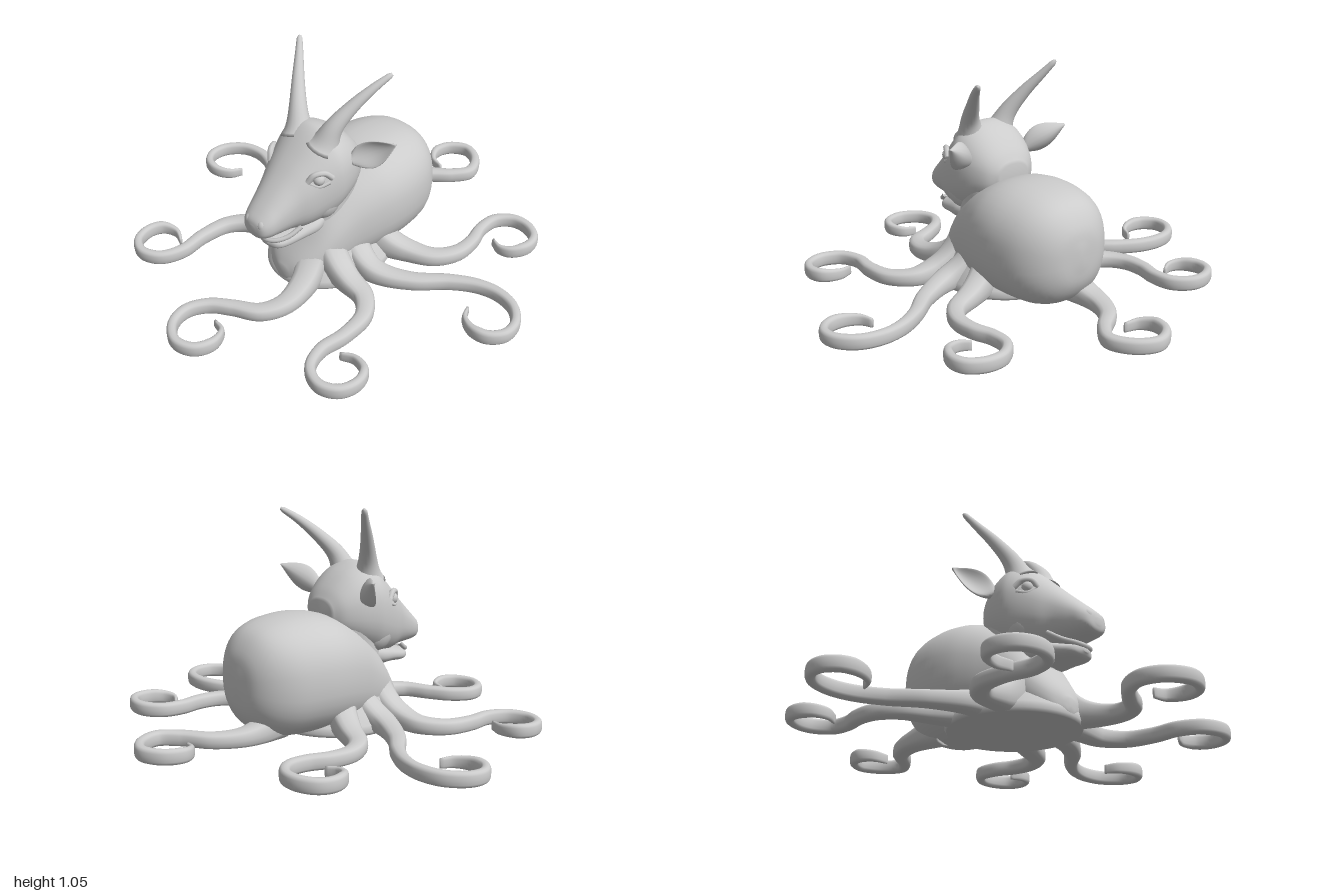
import * as THREE from 'three';

const V = (x, y, z) => new THREE.Vector3(x, y, z);
const mat = new THREE.MeshStandardMaterial({ color: 0xcccccc, roughness: 0.8 });
const ground = z => 0.04 - 0.04 * z;
const pow = (c, n) => Math.sign(c) * Math.abs(c) ** (2 / n);
const flip = (p, s) => V(p.x * s, p.y, p.z);

// Closed skin from f(t, angle), capped at both ends and wound outward
function loft(name, segs, sides, f) {
  const pos = [], idx = [];
  for (let i = 0; i <= segs; i++)
    for (let j = 0; j < sides; j++) pos.push(...f(i / segs, (j / sides) * Math.PI * 2).toArray());
  for (const i of [0, segs]) {
    const mid = V(0, 0, 0);
    for (let j = 0; j < sides; j++) mid.add(V().fromArray(pos, (i * sides + j) * 3));
    pos.push(...mid.divideScalar(sides).toArray());
  }
  const end = (segs + 1) * sides;
  for (let j = 0; j < sides; j++) {
    const k = (j + 1) % sides;
    for (let i = 0; i < segs; i++) {
      const a = i * sides + j, b = i * sides + k, c = a + sides, d = b + sides;
      idx.push(a, b, c, b, d, c);
    }
    idx.push(end, k, j, end + 1, segs * sides + j, segs * sides + k);
  }
  let vol = 0;
  for (let i = 0; i < idx.length; i += 3) {
    const [a, b, c] = [0, 1, 2].map(k => V().fromArray(pos, idx[i + k] * 3));
    vol += a.dot(b.cross(c));
  }
  if (vol < 0) idx.reverse();
  const g = new THREE.BufferGeometry();
  g.setAttribute('position', new THREE.Float32BufferAttribute(pos, 3));
  g.setIndex(idx);
  g.computeVertexNormals();
  return named(name, g);
}

function named(name, g) {
  const m = new THREE.Mesh(g, mat);
  m.name = name;
  return m;
}

// Form along z from keys [z, halfWidth, bottom, top]
function zForm(name, keys, n) {
  const a = new THREE.CatmullRomCurve3(keys.map(k => V(k[0], k[1], 0)), false, 'catmullrom');
  const b = new THREE.CatmullRomCurve3(keys.map(k => V(k[2], k[3], 0)), false, 'catmullrom');
  return loft(name, 48, 40, (t, q) => {
    const p = a.getPoint(t), y = b.getPoint(t);
    return V(p.y * pow(Math.cos(q), n), (y.x + y.y) / 2 + ((y.y - y.x) / 2) * pow(Math.sin(q), n), p.x);
  });
}

// Flat-bottomed arm following [x, z] points on the ground
function tentacle(name, pts, side, thick) {
  const curve = new THREE.CatmullRomCurve3(pts.map(p => V(p[0] * side, 0, p[1])));
  return loft(name, 90, 16, (t, q) => {
    const p = curve.getPointAt(t), d = curve.getTangentAt(t);
    const tip = Math.min(1, 0.35 + (1 - t) * 5);
    const w = (0.021 + thick * (1 - t) ** 3) * tip;
    const h = (0.067 + 0.2 * Math.exp(-14 * t)) * (0.5 + 0.5 * tip);
    const u = w * pow(Math.cos(q), 2.6);
    const y = ground(p.z) + (h / 2) * (1 + pow(Math.sin(q), 3));
    return V(p.x - d.z * u, y, p.z + d.x * u);
  });
}

// Tapering round horn
function horn(name, pts) {
  const curve = new THREE.CatmullRomCurve3(pts), N = 30, fr = curve.computeFrenetFrames(N);
  return loft(name, N, 18, (t, q) => {
    const i = Math.round(t * N);
    const r = (0.012 + 0.036 * (1 - t) + 0.035 * Math.exp(-9 * t)) * (t > 0.97 ? 0.6 : 1);
    return curve.getPointAt(t).addScaledVector(fr.normals[i], r * Math.cos(q))
      .addScaledVector(fr.binormals[i], r * Math.sin(q));
  });
}

// Cupped leaf-shaped ear
function ear(name, s) {
  const root = V(0.165, 0.635, 0.08), axis = V(0.16, 0.105, -0.1);
  const wide = V(-0.45, 0.8, 0.12).normalize(), nor = axis.clone().cross(wide).normalize();
  return loft(name, 24, 20, (t, q) => {
    const w = 0.02 * (1 - t) + 0.048 * Math.sin(Math.PI * t ** 0.85) + 0.003;
    const u = Math.cos(q), k = Math.sin(q);
    const bend = 0.035 * (u * u - 0.6) * Math.sin(Math.PI * t);
    const p = root.clone().addScaledVector(axis, t).addScaledVector(wide, w * u)
      .addScaledVector(nor, bend + k * (0.008 + 0.018 * (1 - t) ** 2));
    return flip(p, s);
  });
}

function ball(name, r, p, scale) {
  const m = named(name, new THREE.SphereGeometry(r, 20, 14));
  m.position.copy(p);
  if (scale) m.scale.set(...scale);
  return m;
}

function tube(name, pts, r) {
  return named(name, new THREE.TubeGeometry(new THREE.CatmullRomCurve3(pts), 24, r, 8));
}

export function createModel() {
  const g = new THREE.Group();
  g.name = 'goatOctopus';

  // Rounded abdomen and chest
  g.add(zForm('body', [
    [-0.512, 0.02, 0.28, 0.36], [-0.495, 0.12, 0.18, 0.45], [-0.44, 0.2, 0.1, 0.53],
    [-0.35, 0.255, 0.06, 0.57], [-0.22, 0.28, 0.05, 0.585], [-0.1, 0.275, 0.045, 0.575],
    [0, 0.25, 0.04, 0.54], [0.1, 0.215, 0.035, 0.48], [0.2, 0.185, 0.033, 0.38],
    [0.28, 0.15, 0.03, 0.26], [0.34, 0.1, 0.03, 0.17], [0.37, 0.03, 0.05, 0.11]], 2.35));

  // Flared web joining the arms, flat underneath
  const web = named('web', new THREE.LatheGeometry(
    [[0, 0], [0.31, 0], [0.32, 0.015], [0.315, 0.045], [0.27, 0.1], [0.22, 0.17], [0.18, 0.26], [0.15, 0.34], [0, 0.36]]
      .map(p => new THREE.Vector2(...p)), 48));
  web.position.set(0, ground(0.05), 0.05);
  web.rotation.x = 0.04;
  web.scale.x = 0.88;
  g.add(web);

  // Neck from keys [y, centre z, halfWidth, halfDepth]
  const neck = [[0.15, 0.12, 0.21, 0.21], [0.28, 0.1, 0.165, 0.17], [0.4, 0.1, 0.155, 0.16],
    [0.5, 0.09, 0.16, 0.15], [0.6, 0.08, 0.155, 0.115], [0.67, 0.09, 0.1, 0.06]];
  const nc = new THREE.CatmullRomCurve3(neck.map(k => V(k[0], k[1], 0)), false, 'catmullrom');
  const nr = new THREE.CatmullRomCurve3(neck.map(k => V(k[2], k[3], 0)), false, 'catmullrom');
  g.add(loft('neck', 24, 32, (t, q) => {
    const c = nc.getPoint(t), r = nr.getPoint(t);
    return V(r.x * Math.cos(q), c.x, c.y + r.y * Math.sin(q));
  }));

  // Skull with long muzzle, and lower jaw
  g.add(zForm('head', [
    [-0.05, 0.08, 0.5, 0.62], [-0.01, 0.135, 0.45, 0.68], [0.06, 0.175, 0.4, 0.745],
    [0.14, 0.195, 0.36, 0.782], [0.2, 0.19, 0.34, 0.765], [0.3, 0.155, 0.335, 0.672],
    [0.37, 0.122, 0.35, 0.603], [0.44, 0.098, 0.355, 0.537], [0.49, 0.082, 0.36, 0.49],
    [0.52, 0.058, 0.372, 0.458], [0.53, 0.015, 0.4, 0.43]], 2.3));
  g.add(zForm('lowerJaw', [
    [0.16, 0.1, 0.29, 0.4], [0.24, 0.125, 0.28, 0.39], [0.32, 0.11, 0.28, 0.365],
    [0.4, 0.085, 0.272, 0.338], [0.44, 0.06, 0.275, 0.328], [0.46, 0.015, 0.295, 0.315]], 2.3));
  g.add(tube('lowerLip', [V(-0.112, 0.385, 0.34), V(-0.085, 0.345, 0.4), V(-0.045, 0.327, 0.445),
    V(0, 0.322, 0.458), V(0.045, 0.327, 0.445), V(0.085, 0.345, 0.4), V(0.112, 0.385, 0.34)], 0.011));

  // Paired face details
  for (const s of [1, -1]) {
    const side = s > 0 ? 'left' : 'right';
    const P = (x, y, z) => V(x * s, y, z);
    g.add(ear(side + 'Ear', s));
    g.add(ball(side + 'Eye', 0.028, P(0.142, 0.612, 0.262)));
    g.add(tube(side + 'Brow', [P(0.118, 0.605, 0.305), P(0.138, 0.64, 0.284), P(0.162, 0.643, 0.245), P(0.178, 0.615, 0.215)], 0.014));
    g.add(tube(side + 'LowerLid', [P(0.125, 0.6, 0.3), P(0.152, 0.582, 0.27), P(0.175, 0.595, 0.225)], 0.009));
    g.add(ball(side + 'Nostril', 0.028, P(0.038, 0.435, 0.5), [0.9, 1.1, 0.9]));
    g.add(ball(side + 'Cheek', 0.085, P(0.105, 0.46, 0.2), [0.8, 1.1, 1]));
  }

  // Swept-back horns, slightly uneven
  g.add(horn('leftHorn', [V(0.075, 0.7, 0.17), V(0.105, 0.8, 0.135), V(0.145, 0.89, 0.06), V(0.19, 0.965, -0.02), V(0.228, 1.018, -0.092)]));
  g.add(horn('rightHorn', [V(-0.075, 0.7, 0.17), V(-0.11, 0.8, 0.14), V(-0.165, 0.9, 0.085), V(-0.22, 0.985, 0.025), V(-0.262, 1.05, -0.02)]));

  // Front and back arms
  g.add(tentacle('frontTentacle', [[0.08, 0.24], [0.135, 0.36], [0.155, 0.5], [0.11, 0.6], [0, 0.665], [-0.09, 0.73],
    [-0.135, 0.82], [-0.11, 0.91], [-0.02, 0.968], [0.07, 0.94], [0.105, 0.865], [0.075, 0.79], [0.01, 0.772]], 1, 0.055));
  g.add(tentacle('backTentacle', [[-0.06, -0.32], [-0.08, -0.47], [-0.07, -0.56], [-0.02, -0.66], [0.08, -0.745],
    [0.135, -0.83], [0.09, -0.93], [0, -0.976], [-0.085, -0.93], [-0.11, -0.85], [-0.075, -0.79], [-0.01, -0.77]], 1, 0.055));

  // Mirrored side arms
  const arms = {
    FrontTentacle: [[0.14, 0.19], [0.26, 0.205], [0.38, 0.225], [0.46, 0.31], [0.48, 0.45], [0.468, 0.58], [0.51, 0.68],
      [0.6, 0.718], [0.68, 0.68], [0.707, 0.6], [0.68, 0.535], [0.605, 0.51], [0.54, 0.535]],
    MiddleTentacle: [[0.14, 0.06], [0.3, 0.075], [0.46, 0], [0.59, -0.115], [0.7, -0.18], [0.8, -0.2], [0.9, -0.175],
      [0.968, -0.1], [0.975, -0.02], [0.925, 0.04], [0.85, 0.05], [0.785, 0.015], [0.758, -0.04]],
    BackTentacle: [[0.16, -0.07], [0.31, -0.135], [0.43, -0.195], [0.49, -0.29], [0.493, -0.4], [0.467, -0.5], [0.475, -0.6],
      [0.54, -0.662], [0.62, -0.665], [0.69, -0.62], [0.707, -0.55], [0.67, -0.475], [0.615, -0.455], [0.56, -0.48]],
  };
  for (const [name, pts] of Object.entries(arms))
    for (const s of [1, -1]) g.add(tentacle((s > 0 ? 'left' : 'right') + name, pts, s, 0.05));

  return g;
}
